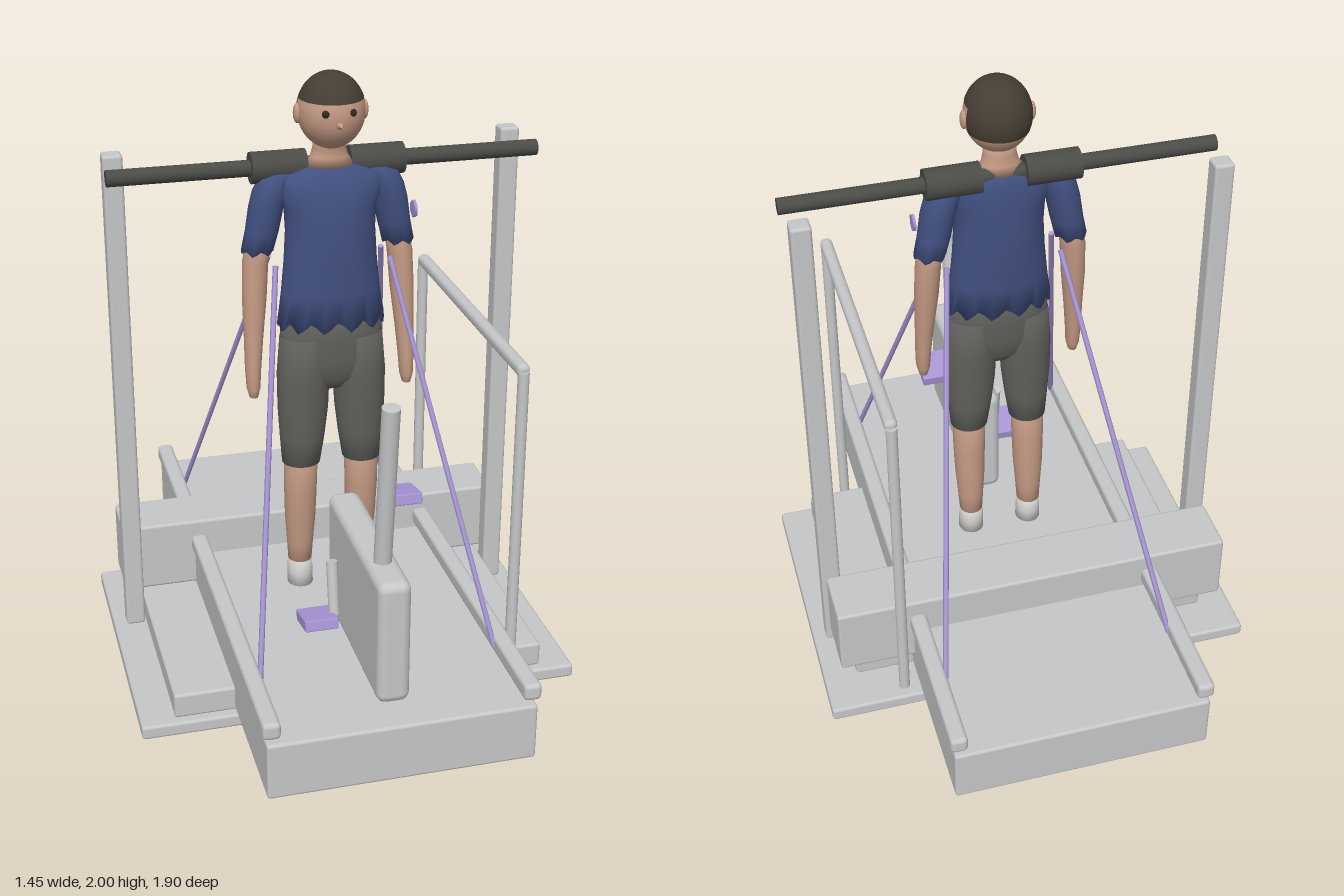
import * as THREE from 'three';
import { RoundedBoxGeometry } from 'three/addons/geometries/RoundedBoxGeometry.js';

export function createModel() {
  const root = new THREE.Group();
  root.name = 'gymFigure';
  const mat = (name, color, side = THREE.FrontSide) => {
    const m = new THREE.MeshStandardMaterial({ color, side });
    m.name = name;
    return m;
  };
  const metal = mat('light grey metal', 0xc6c7c8);
  const dark = mat('dark grey padding', 0x4b4c48);
  const purple = mat('purple', 0xa996d6);
  const skin = mat('skin', 0xc49a84);
  const shirt = mat('blue shirt', 0x415080, THREE.DoubleSide);
  const shorts = mat('grey shorts', 0x60605c, THREE.DoubleSide);
  const hair = mat('dark brown hair', 0x453e34, THREE.DoubleSide);
  const eye = mat('dark eye', 0x33281f);
  const sock = mat('pale sock', 0xcfcecb);

  const add = (name, geo, material, x = 0, y = 0, z = 0) => {
    const m = new THREE.Mesh(geo, material);
    m.name = name;
    m.position.set(x, y, z);
    root.add(m);
    return m;
  };
  // Bevelled box given by its limits on each axis
  const box = (name, [x0, x1], [y0, y1], [z0, z1], r = 0.01, material = metal) =>
    add(name, new RoundedBoxGeometry(x1 - x0, y1 - y0, z1 - z0, 2, r), material,
      (x0 + x1) / 2, (y0 + y1) / 2, (z0 + z1) / 2);
  // Round rod between two points
  const rod = (name, a, b, r, material = metal, sides = 16) => {
    const p = new THREE.Vector3(...a), q = new THREE.Vector3(...b);
    const d = q.clone().sub(p);
    const m = add(name, new THREE.CylinderGeometry(r, r, d.length(), sides), material);
    m.position.copy(p.add(q).multiplyScalar(0.5));
    m.quaternion.setFromUnitVectors(new THREE.Vector3(0, 1, 0), d.normalize());
    return m;
  };
  // Smooth body through oval sections [y, centreX, centreZ, radiusX, radiusZ], listed top down
  const loft = (name, rows, material, side = 1, jag = 0, n = 24) => {
    const pos = [], idx = [];
    rows.forEach(([y, cx, cz, rx, rz], k) => {
      for (let i = 0; i < n; i++) {
        const a = (i / n) * Math.PI * 2;
        const drop = k === rows.length - 1 ? jag * [1, 0.3, -1, -0.2][i % 4] : 0;
        pos.push(cx * side + rx * Math.sin(a), y + drop, cz + rz * Math.cos(a));
      }
    });
    for (let k = 0; k < rows.length - 1; k++) {
      for (let i = 0; i < n; i++) {
        const a = k * n + i, b = k * n + (i + 1) % n;
        idx.push(a, a + n, b, b, a + n, b + n);
      }
    }
    // End caps
    const last = rows.length - 1, top = pos.length / 3;
    for (const k of [0, last]) pos.push(rows[k][1] * side, rows[k][0], rows[k][2]);
    for (let i = 0; i < n; i++) {
      const j = (i + 1) % n;
      idx.push(top, i, j, top + 1, last * n + j, last * n + i);
    }
    const g = new THREE.BufferGeometry();
    g.setAttribute('position', new THREE.Float32BufferAttribute(pos, 3));
    g.setIndex(idx);
    g.computeVertexNormals();
    return add(name, g, material);
  };

  // Platform and steps
  box('basePlate', [-0.725, 0.725], [0, 0.046], [-0.5, 0.5]);
  box('lowStep', [-0.615, 0.615], [0.046, 0.13], [-0.36, 0.472]);
  box('treadDeck', [-0.42, 0.42], [0.05, 0.24], [-0.95, 0.95]);
  box('bench', [-0.67, 0.67], [0.13, 0.37], [-0.402, -0.205]);

  // Rack posts and deck rails
  for (const s of [-1, 1]) {
    box('rackPost', [s * 0.65 - 0.032, s * 0.65 + 0.032], [0.046, 1.73], [-0.177, -0.113]);
    box('deckRail', [s * 0.403 - 0.028, s * 0.403 + 0.028], [0.257, 0.313], [-0.95, 0.95], 0.015);
  }

  // Shoulder bar with pads
  rod('bar', [-0.69, 1.698, 0.012], [0.69, 1.698, 0.012], 0.026, dark);
  for (const s of [-1, 1])
    rod('barPad', [s * 0.07, 1.698, 0.012], [s * 0.245, 1.698, 0.012], 0.05, dark);

  // Handrail on the left side
  rod('handrailPost', [0.47, 0.046, 0.565], [0.47, 1.17, 0.565], 0.018);
  rod('handrailPost', [0.47, 0.046, -0.45], [0.47, 1.17, -0.45], 0.018);
  box('handrailTop', [0.449, 0.491], [1.153, 1.195], [-0.455, 0.573], 0.018);

  // Pedal stand with lever, cranks and pedals
  box('pedalStand', [-0.052, 0.052], [0.24, 0.655], [0.22, 0.838], 0.03);
  rod('lever', [0, 0.62, 0.683], [0, 1.19, 0.75], 0.028);
  for (const [s, y, z] of [[1, 0.705, 0.385], [-1, 0.335, 0.457]]) {
    rod('crank', [s * 0.09, 0.52, 0.425], [s * 0.09, y - 0.01 * s, z], 0.018);
    const p = box('pedal', [s * 0.145 - 0.054, s * 0.145 + 0.054], [y - 0.018, y + 0.018],
      [z - 0.063, z + 0.063], 0.004, purple);
    p.rotation.x = -0.2;
  }

  // Elastic straps from the body to the rails
  for (const s of [-1, 1]) {
    rod('strap', [s * 0.185, 1.4, 0.09], [s * 0.377, 0.28, 0.665], 0.009, purple, 6);
    rod('strap', [s * 0.185, 1.4, -0.01], [s * 0.377, 0.28, -0.665], 0.009, purple, 6);
  }

  // Torso, hips and neck
  loft('torso', [
    [1.71, 0, 0.035, 0.066, 0.045], [1.695, 0, 0.037, 0.105, 0.06], [1.67, 0, 0.042, 0.165, 0.072],
    [1.63, 0, 0.047, 0.172, 0.083], [1.58, 0, 0.051, 0.148, 0.09], [1.5, 0, 0.054, 0.144, 0.097],
    [1.4, 0, 0.056, 0.15, 0.098], [1.3, 0, 0.058, 0.16, 0.096], [1.195, 0, 0.063, 0.175, 0.092],
  ], shirt, 1, 0.018, 48);
  loft('hips', [
    [1.24, 0, 0.062, 0.16, 0.08], [1.15, 0, 0.064, 0.168, 0.083], [1.07, 0, 0.066, 0.168, 0.08],
    [1.01, 0, 0.068, 0.14, 0.068], [0.97, 0, 0.068, 0.08, 0.04],
  ], shorts, 1, 0, 32);
  loft('neck', [
    [1.8, 0, 0.045, 0.052, 0.048], [1.76, 0, 0.04, 0.052, 0.045],
    [1.73, 0, 0.037, 0.06, 0.046], [1.7, 0, 0.037, 0.082, 0.055],
  ], skin);

  // Arms and legs
  for (const s of [-1, 1]) {
    loft('sleeve', [
      [1.685, 0.155, 0.032, 0.035, 0.035], [1.67, 0.17, 0.032, 0.052, 0.05],
      [1.63, 0.186, 0.032, 0.056, 0.058], [1.58, 0.2, 0.032, 0.055, 0.06],
      [1.5, 0.214, 0.03, 0.053, 0.056], [1.435, 0.229, 0.028, 0.051, 0.052],
    ], shirt, s, 0.008);
    loft('forearm', [
      [1.48, 0.222, 0.028, 0.04, 0.043], [1.4, 0.236, 0.027, 0.041, 0.044],
      [1.28, 0.243, 0.035, 0.039, 0.042], [1.15, 0.25, 0.047, 0.031, 0.034],
      [1.05, 0.255, 0.055, 0.026, 0.033], [0.98, 0.256, 0.06, 0.022, 0.029],
      [0.95, 0.256, 0.062, 0.014, 0.02], [0.943, 0.256, 0.062, 0.004, 0.005],
    ], skin, s);
    loft('shortsLeg', [
      [1.15, 0.085, 0.065, 0.083, 0.077], [1.02, 0.093, 0.067, 0.086, 0.078],
      [0.9, 0.095, 0.068, 0.083, 0.073], [0.8, 0.098, 0.068, 0.074, 0.067],
      [0.705, 0.102, 0.068, 0.063, 0.061],
    ], shorts, s);
    loft('shin', [
      [0.74, 0.102, 0.066, 0.056, 0.056], [0.6, 0.104, 0.064, 0.054, 0.056],
      [0.5, 0.104, 0.058, 0.051, 0.053], [0.4, 0.104, 0.053, 0.044, 0.046],
      [0.325, 0.104, 0.05, 0.039, 0.041],
    ], skin, s);
    loft('sock', [
      [0.33, 0.104, 0.05, 0.041, 0.043], [0.28, 0.104, 0.051, 0.042, 0.044],
      [0.235, 0.104, 0.053, 0.043, 0.047],
    ], sock, s);
  }

  // Round patch on the left sleeve
  const patch = add('sleevePatch', new THREE.CylinderGeometry(0.029, 0.029, 0.009, 6), purple, 0.272, 1.54, 0.058);
  patch.rotation.set(0, 0, -Math.PI / 2);
  patch.rotateY(Math.PI / 2);

  // Head with hair, ears, nose and eyes
  const hy = 1.88, hz = 0.063;
  const shell = (name, geo, material, k) =>
    add(name, geo, material, 0, hy, hz).scale.set(0.105 * k, 0.1185 * k, 0.113 * k);
  shell('head', new THREE.SphereGeometry(1, 32, 24), skin, 1);
  shell('hairTop', new THREE.SphereGeometry(1, 32, 12, 0, Math.PI * 2, 0, 1.23), hair, 1.012);
  shell('hairBack', new THREE.SphereGeometry(1, 24, 8, Math.PI + 0.22, Math.PI - 0.44, 1.2, 0.75), hair, 1.012);
  for (const s of [-1, 1]) {
    add('ear', new THREE.SphereGeometry(1, 16, 12), skin, s * 0.106, 1.875, 0.06).scale.set(0.012, 0.031, 0.021);
    add('eye', new THREE.SphereGeometry(0.012, 12, 8), eye, s * 0.042, 1.893, 0.163);
  }
  add('nose', new THREE.ConeGeometry(0.015, 0.04, 12), skin, 0, 1.857, 0.182).rotation.x = Math.PI / 2;

  return root;
}
